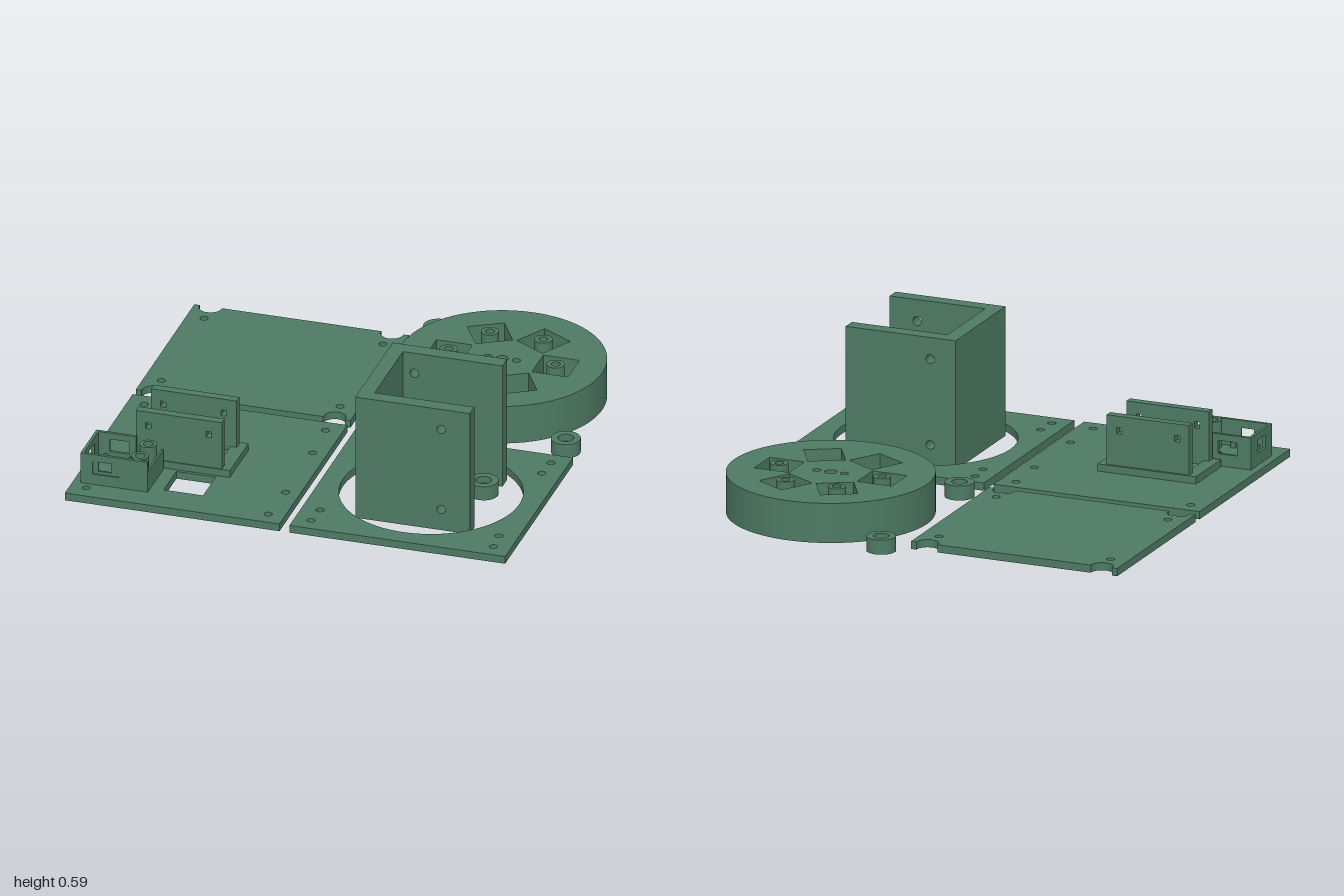
import * as THREE from 'three';

const green = new THREE.MeshStandardMaterial({ color: 0x4e7a64 });
green.name = 'sage green';
const T = 0.035; // plate thickness

// --- outline helpers ---
function poly(points, Type = THREE.Shape) {
  return new Type(points.map(([x, y]) => new THREE.Vector2(x, y)));
}
function rect(x0, y0, x1, y1, Type = THREE.Shape) {
  return poly([[x0, y0], [x1, y0], [x1, y1], [x0, y1]], Type);
}
const gap = (x0, y0, x1, y1) => rect(x0, y0, x1, y1, THREE.Path);
function circle(x, y, r, Type = THREE.Path) {
  const c = new Type();
  c.absarc(x, y, r, 0, Math.PI * 2, false);
  return c;
}

export function createModel() {
  const model = new THREE.Group();
  model.name = 'printed parts set';

  function add(parent, name, geometry) {
    const mesh = new THREE.Mesh(geometry, green);
    mesh.name = name;
    parent.add(mesh);
    return mesh;
  }
  function group(name) {
    const g = new THREE.Group();
    g.name = name;
    model.add(g);
    return g;
  }
  // Plan outline (x, z) raised from y0 to y1
  function slab(parent, name, shape, holes, y0, y1) {
    shape.holes.push(...holes);
    const g = new THREE.ExtrudeGeometry(shape, { depth: y1 - y0, bevelEnabled: false, curveSegments: 48 });
    g.rotateX(Math.PI / 2).translate(0, y1, 0);
    return add(parent, name, g);
  }
  // Front outline (x, y) running from z0 to z1
  function wall(parent, name, shape, holes, z0, z1) {
    shape.holes.push(...holes);
    const g = new THREE.ExtrudeGeometry(shape, { depth: z1 - z0, bevelEnabled: false, curveSegments: 24 });
    g.translate(0, 0, z0);
    return add(parent, name, g);
  }
  // Stepped ring with a narrow bore and a wider countersink
  function ring(parent, name, x, z, r, bore, sink, y0, y1) {
    const step = y0 + (y1 - y0) * 0.5;
    const profile = [[bore, y0], [r, y0], [r, y0], [r, y1], [r, y1], [sink, y1], [sink, y1],
      [sink, step], [sink, step], [bore, step], [bore, step], [bore, y0]];
    // each straight run is its own lathe so edges stay sharp
    const g = new THREE.Group();
    g.name = name;
    parent.add(g);
    for (let i = 0; i < profile.length; i += 2) {
      const pts = [profile[i], profile[i + 1]].map(([a, b]) => new THREE.Vector2(a, b));
      add(g, 'ring face', new THREE.LatheGeometry(pts, 40));
    }
    g.position.set(x, 0, z);
  }

  // Cover plate with rounded notches near its corners
  const cover = new THREE.Shape();
  cover.moveTo(-1, -0.87);
  cover.lineTo(-0.975, -0.87);
  cover.absarc(-0.925, -0.865, 0.05, Math.PI, 0, true);
  cover.lineTo(-0.875, -0.87);
  cover.lineTo(-0.15, -0.87);
  cover.absarc(-0.1, -0.865, 0.05, Math.PI, 0, true);
  cover.lineTo(-0.05, -0.87);
  cover.lineTo(-0.025, -0.87);
  cover.lineTo(-0.025, -0.025);
  cover.lineTo(-0.05, -0.025);
  cover.absarc(-0.1, -0.035, 0.05, 0, Math.PI, true);
  cover.lineTo(-0.15, -0.025);
  cover.lineTo(-0.875, -0.025);
  cover.absarc(-0.925, -0.035, 0.05, 0, Math.PI, true);
  cover.lineTo(-0.975, -0.025);
  cover.lineTo(-1, -0.025);
  const coverHoles = [];
  for (const x of [-0.92, -0.108]) for (const z of [-0.757, -0.14]) coverHoles.push(circle(x, z, 0.018));
  slab(model, 'cover plate', cover, coverHoles, 0, T);

  // Base plate
  const base = group('base plate assembly');
  const baseHoles = [[-0.925, 0.095], [-0.1, 0.095], [-0.09, 0.315], [-0.09, 0.705], [-0.1, 0.925], [-0.925, 0.925]]
    .map(([x, z]) => circle(x, z, 0.018));
  slab(base, 'base plate', rect(-1, 0.02, -0.025, 1),
    [...baseHoles, gap(-0.6, 0.66, -0.422, 0.842), circle(-0.51, 0.51, 0.027)], 0, T);

  // Motor bracket: foot, shallow pocket and two upright cheeks
  slab(base, 'bracket foot', rect(-0.828, 0.375, -0.362, 0.645), [gap(-0.765, 0.425, -0.43, 0.6)], T, 0.068);
  slab(base, 'bracket pocket floor', rect(-0.765, 0.425, -0.43, 0.6), [circle(-0.51, 0.51, 0.027)], T, 0.05);
  for (const z of [0.385, 0.6]) {
    wall(base, 'bracket cheek', rect(-0.79, 0.068, -0.4, 0.293),
      [gap(-0.747, 0.212, -0.722, 0.24), gap(-0.472, 0.212, -0.447, 0.24)], z, z + 0.04);
  }

  // Electronics tray
  const tray = group('electronics tray');
  slab(tray, 'tray floor', rect(-0.965, 0.655, -0.66, 0.885), [], T, 0.06);
  wall(tray, 'tray front wall', rect(-0.965, 0.06, -0.66, 0.18), [gap(-0.91, 0.085, -0.79, 0.147)], 0.871, 0.885);
  wall(tray, 'tray port frame', rect(-0.91, 0.085, -0.79, 0.147), [gap(-0.885, 0.1, -0.825, 0.146)], 0.871, 0.88);
  wall(tray, 'tray back wall', rect(-0.965, 0.06, -0.78, 0.18), [gap(-0.9, 0.09, -0.81, 0.15)], 0.655, 0.669);
  const outer = wall(tray, 'tray outer wall', rect(0.669, 0.06, 0.871, 0.18), [gap(0.73, 0.09, 0.81, 0.15)], 0.951, 0.965);
  outer.rotation.y = -Math.PI / 2;
  const inner = wall(tray, 'tray inner wall', rect(0.655, 0.06, 0.871, 0.13), [], 0.66, 0.67);
  inner.rotation.y = -Math.PI / 2;
  for (const z of [0.715, 0.833]) ring(tray, 'tray screw post', -0.71, z, 0.038, 0.012, 0.022, 0.06, 0.18);
  for (const x of [-0.91, -0.797]) {
    for (const z of [0.695, 0.85]) slab(tray, 'board peg', circle(x, z, 0.012, THREE.Shape), [], 0.06, 0.085);
  }

  // Frame plate with a large round opening
  const frameHoles = [];
  for (const [x, z] of [[0.095, 0.095], [0.103, 0.2], [0.103, 0.82], [0.095, 0.925]]) {
    frameHoles.push(circle(x, z, 0.018), circle(1.018 - x, z, 0.018));
  }
  slab(model, 'frame plate', rect(0.02, 0.02, 1, 1), [...frameHoles, circle(0.51, 0.512, 0.4)], 0, T);

  // Tall U channel, open toward +x
  const channel = group('tall channel');
  const H = 0.588;
  wall(channel, 'channel front wall', rect(0.25, 0, 0.77, H),
    [circle(0.64, 0.49, 0.02), circle(0.64, 0.1, 0.02)], 0.715, 0.78);
  wall(channel, 'channel rear wall', rect(0.25, 0, 0.77, H),
    [circle(0.37, 0.49, 0.02), circle(0.37, 0.1, 0.02)], 0.24, 0.308);
  slab(channel, 'channel web', rect(0.25, 0.308, 0.318, 0.715), [], 0, H);

  // Small block with a recessed top
  slab(model, 'small block', rect(0.342, 0.498, 0.645, 0.69), [gap(0.365, 0.505, 0.54, 0.68)], 0, 0.045);
  slab(model, 'small block recess', rect(0.365, 0.505, 0.54, 0.68), [], 0, 0.03);

  // Loose feet
  for (const [x, z] of [[0.403, 0.395], [0.558, 0.395], [0.712, 0.395], [0.086, -0.938], [0.086, -0.092], [0.932, -0.092]]) {
    ring(model, 'round foot', x, z, 0.065, 0.018, 0.035, 0, 0.066);
  }

  // Rotor disc with six square pockets around the hub
  const rotor = group('rotor');
  const cx = 0.51, cz = -0.515, half = 0.082;
  const discHoles = [circle(cx, cz, 0.027), circle(cx - 0.065, cz, 0.018), circle(cx + 0.065, cz, 0.018)];
  for (let i = 0; i < 6; i++) {
    const a = i * Math.PI / 3, c = Math.cos(a), s = Math.sin(a);
    const corners = [[-half, -half], [half, -half], [half, half], [-half, half]].map(([u, v]) => {
      const r = 0.243 + u;
      return [cx + r * c - v * s, cz + r * s + v * c];
    });
    discHoles.push(poly(corners, THREE.Path));
    const x = cx + 0.243 * c, z = cz + 0.243 * s;
    if (s > 0.1) ring(rotor, 'low pocket bushing', x, z, 0.056, 0.008, 0.02, 0, 0.066);
    else ring(rotor, 'pocket bushing', x, z, 0.039, 0.017, 0.02, 0, 0.19);
  }
  slab(rotor, 'rotor disc', circle(cx, cz, 0.455, THREE.Shape), discHoles, 0, 0.18);

  return model;
}
